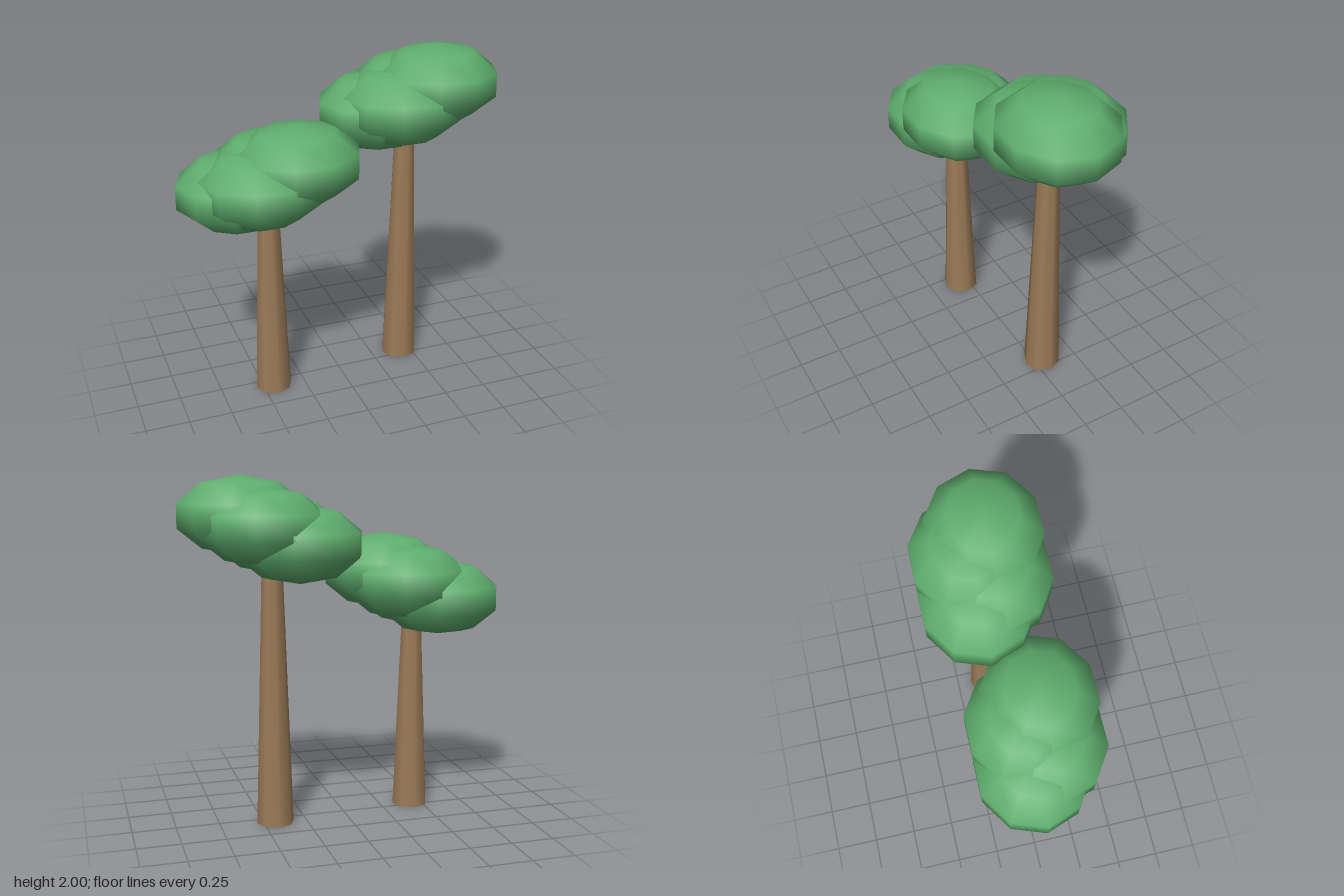
import * as THREE from 'three';

const bark = new THREE.MeshStandardMaterial({ color: 0x9c7c58 });
const leaf = new THREE.MeshStandardMaterial({ color: 0x5fae6e });

// Leaf clumps relative to the trunk axis; y is relative to the lowest clump
const clumps = [
  ['backLowerFoliage', -0.15, 0, -0.05],
  ['backUpperFoliage', 0.055, 0.1, -0.05],
  ['frontLowerFoliage', -0.05, 0.05, 0.06],
  ['frontUpperFoliage', 0.16, 0.159, 0.06],
];

function createTree(name, x, z, crownY) {
  const tree = new THREE.Group();
  tree.name = name;
  tree.position.set(x, 0, z);

  // Tapered trunk reaching into the crown
  const trunk = new THREE.Mesh(new THREE.CylinderGeometry(0.056, 0.108, crownY, 8), bark);
  trunk.name = 'trunk';
  trunk.position.y = crownY / 2;
  tree.add(trunk);

  // Flattened low-poly clumps of leaves
  const crown = new THREE.Group();
  crown.name = 'crown';
  crown.position.y = crownY;
  for (const [part, cx, cy, cz] of clumps) {
    const geometry = new THREE.SphereGeometry(1, 10, 5).scale(0.373, 0.222, 0.334);
    const clump = new THREE.Mesh(geometry, leaf);
    clump.name = part;
    clump.position.set(cx, cy, cz);
    crown.add(clump);
  }
  tree.add(crown);
  return tree;
}

export function createModel() {
  const model = new THREE.Group();
  model.name = 'treePair';
  model.add(createTree('tallTree', 0.43, -0.055, 1.619));
  model.add(createTree('shortTree', -0.435, 0.045, 1.28));
  return model;
}
